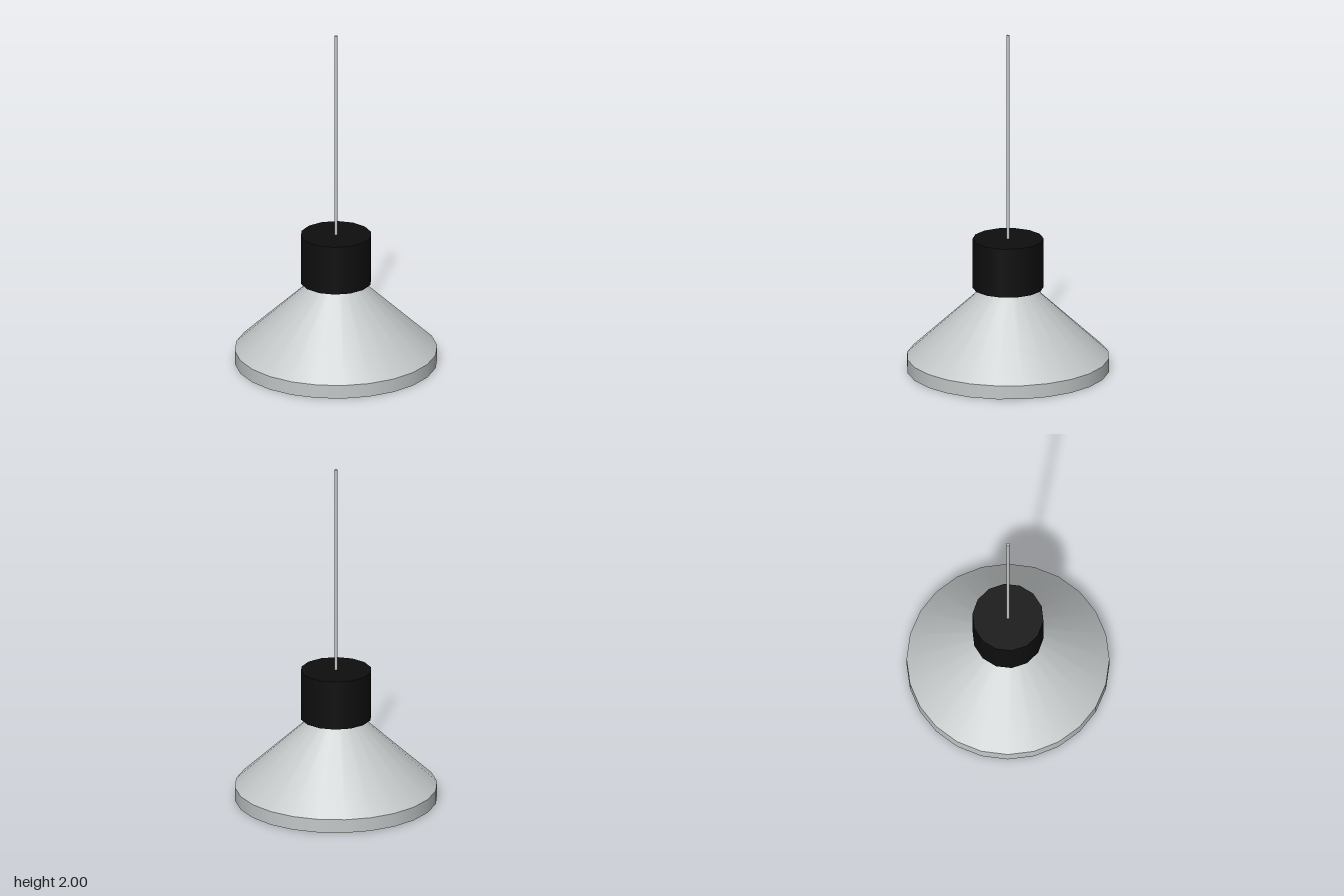
import * as THREE from 'three';

export function createModel() {
  const lamp = new THREE.Group();
  lamp.name = 'pendantLamp';

  const paleGrey = new THREE.MeshStandardMaterial({ color: 0xc4c8c8 });
  paleGrey.name = 'paleGrey';
  const black = new THREE.MeshStandardMaterial({ color: 0x0e0e0e });
  black.name = 'black';

  // Adds an upright cylinder or cone section between two heights
  function addSection(name, material, topRadius, bottomRadius, bottom, top, sides, open = false) {
    const geometry = new THREE.CylinderGeometry(topRadius, bottomRadius, top - bottom, sides, 1, open);
    const mesh = new THREE.Mesh(geometry, material);
    mesh.name = name;
    mesh.position.y = (bottom + top) / 2;
    lamp.add(mesh);
    return mesh;
  }

  // Rim band with a closed underside
  addSection('shadeRim', paleGrey, 0.58, 0.58, 0, 0.08, 24, true);
  const diffuser = new THREE.Mesh(new THREE.CircleGeometry(0.58, 24), paleGrey);
  diffuser.name = 'diffuser';
  diffuser.rotation.x = Math.PI / 2;
  lamp.add(diffuser);

  // Conical shade, tucked just inside the cap
  addSection('shadeCone', paleGrey, 0.13, 0.58, 0.08, 0.5, 24, true);

  // Socket cap and hanging cord
  addSection('socketCap', black, 0.204, 0.204, 0.49, 0.78, 14);
  addSection('cord', paleGrey, 0.01, 0.01, 0.77, 2, 8);

  return lamp;
}
